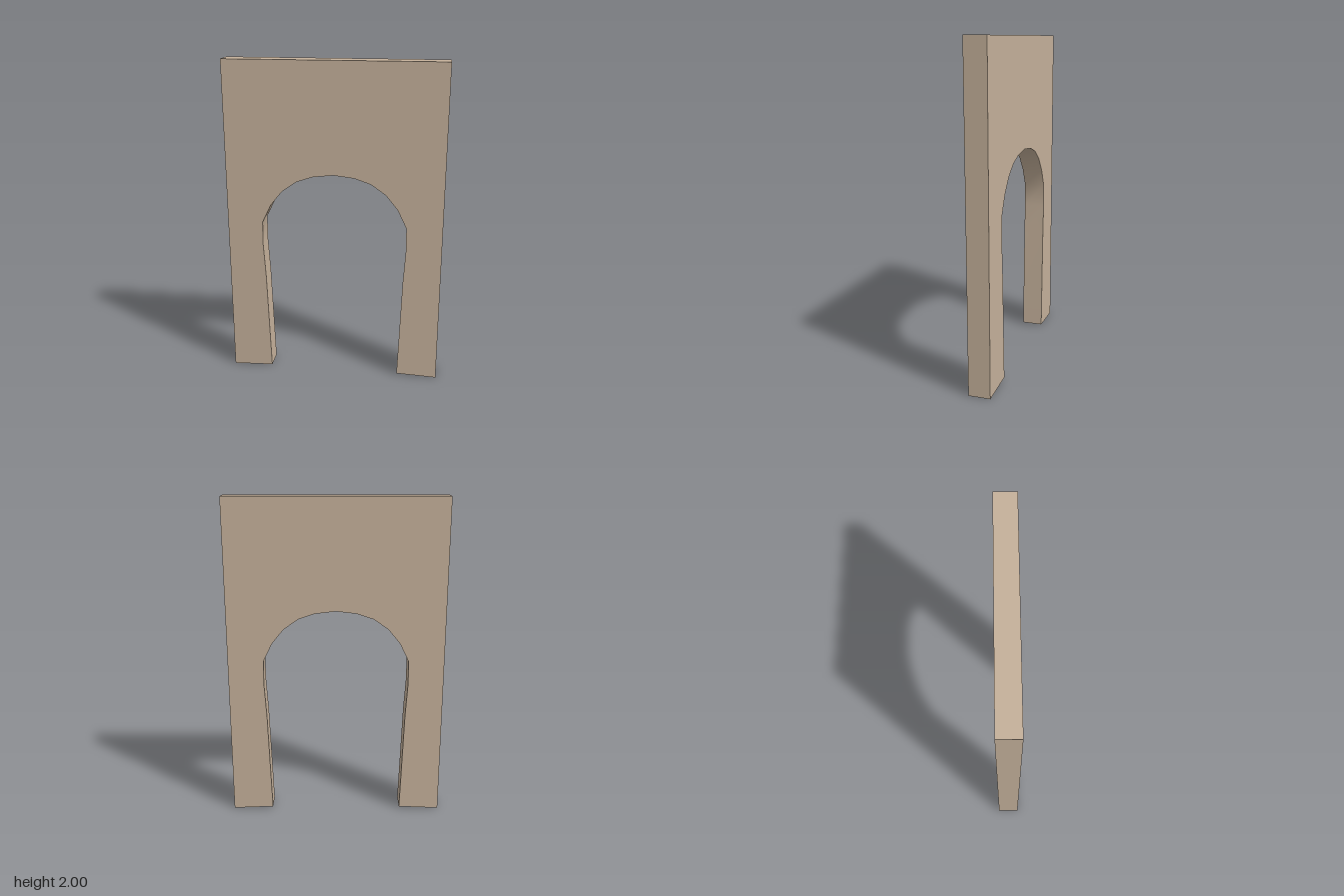
import * as THREE from 'three';
import { toCreasedNormals } from 'three/addons/utils/BufferGeometryUtils.js';

const HALF_WIDTH = 0.665, HEIGHT = 2, DEPTH = 0.132;

// Right half of the opening, from the foot up to the crown
const ARCH = [
  [0.413, 0.01], [0.434, 0.65], [0.447, 0.865], [0.445, 1.01], [0.39, 1.123],
  [0.317, 1.213], [0.227, 1.276], [0.127, 1.31], [0, 1.325],
];

// Remove the undersides of the legs, leaving the shell open at the floor
function openBottom(geometry) {
  const p = geometry.attributes.position;
  const kept = [];
  for (let i = 0; i < p.count; i += 3) {
    const onFloor = [0, 1, 2].every((k) => p.getY(i + k) < 0.02);
    if (onFloor) continue;
    for (let k = 0; k < 3; k++) kept.push(p.getX(i + k), p.getY(i + k), p.getZ(i + k));
  }
  const open = new THREE.BufferGeometry();
  open.setAttribute('position', new THREE.Float32BufferAttribute(kept, 3));
  return open;
}

export function createModel() {
  const stone = new THREE.MeshStandardMaterial({ color: 0xc4b09a, side: THREE.DoubleSide });
  stone.name = 'sandstone';

  // Wall outline with the slightly pinched arch cut up from the floor
  const left = ARCH.slice(0, -1).reverse().map(([x, y]) => [-x, y]);
  const outline = [
    [HALF_WIDTH, 0], [HALF_WIDTH, HEIGHT], [-HALF_WIDTH, HEIGHT], [-HALF_WIDTH, 0],
    ...left.reverse(), ...ARCH.slice().reverse(),
  ];
  const shape = new THREE.Shape(outline.map(([x, y]) => new THREE.Vector2(x, y)));
  const solid = new THREE.ExtrudeGeometry(shape, { depth: DEPTH, bevelEnabled: false });
  solid.translate(0, 0, -DEPTH / 2);

  // Smooth around the arch soffit, sharp at the wall edges
  const wall = new THREE.Mesh(toCreasedNormals(openBottom(solid), 0.6), stone);
  wall.name = 'archedWall';

  const group = new THREE.Group();
  group.name = 'archway';
  group.add(wall);
  return group;
}
